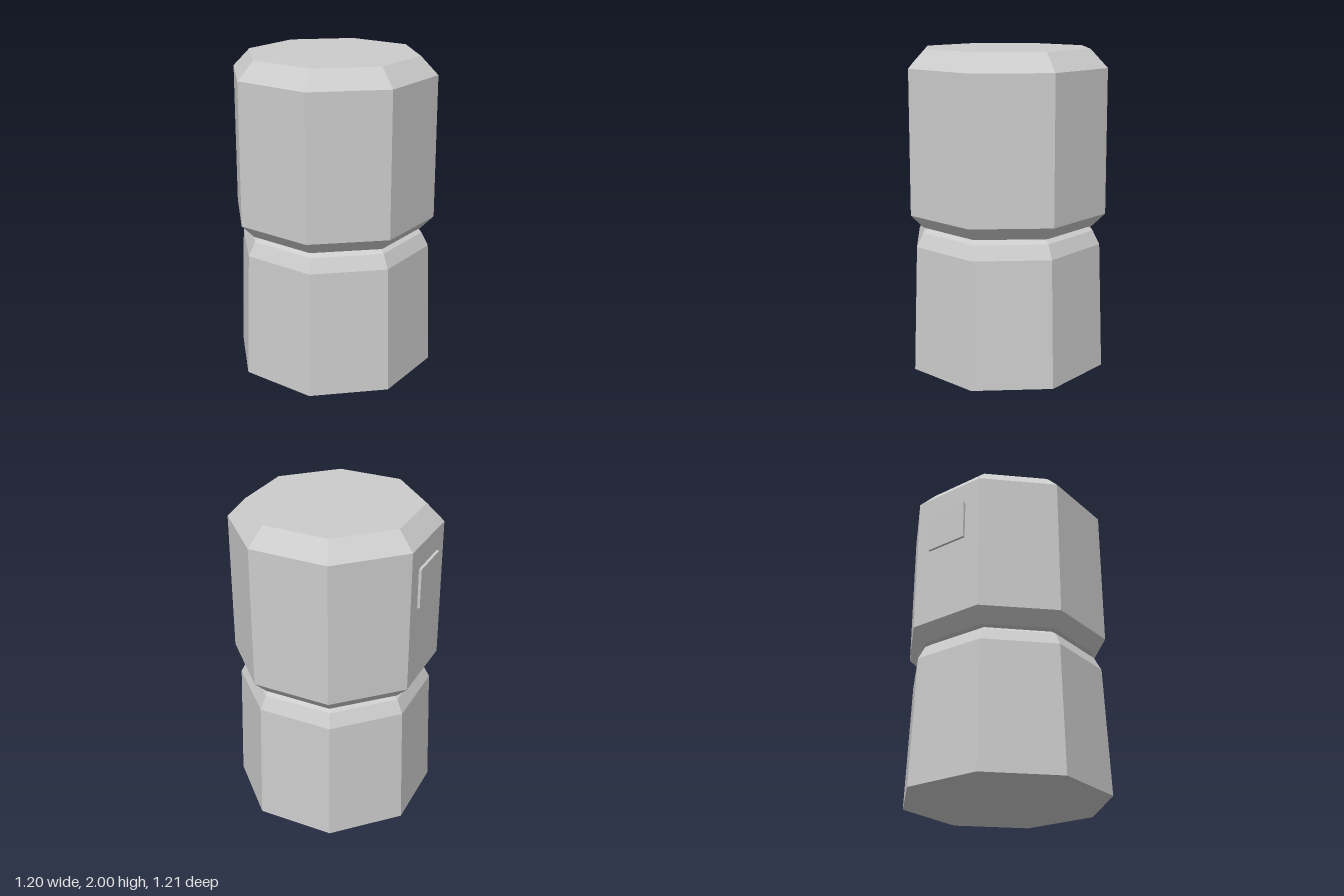
import * as THREE from 'three';

const SIDES = 8;
const material = new THREE.MeshStandardMaterial({ color: 0xcccccc, flatShading: true });

// Solid octagonal prism from [distance to flat side, height] pairs, with a flat face at the front
function octagon(name, profile) {
  const points = profile.map(([flat, y]) => new THREE.Vector2(flat / Math.cos(Math.PI / SIDES), y));
  const geometry = new THREE.LatheGeometry(points, SIDES, Math.PI / SIDES);
  const mesh = new THREE.Mesh(geometry, material);
  mesh.name = name;
  return mesh;
}

export function createModel() {
  const model = new THREE.Group();
  model.name = 'blockFigure';

  // Tapered body with a rounded shoulder
  const body = octagon('body', [
    [0, 0], [0.595, 0], [0.566, 0.8], [0.525, 0.885], [0.485, 0.914], [0, 0.914],
  ]);
  body.position.set(0.002, 0, 0.01);

  // Straight head with bevelled rims, turned very slightly
  const head = octagon('head', [
    [0, 0.916], [0.522, 0.916], [0.597, 1], [0.592, 1.89], [0.493, 2], [0, 2],
  ]);
  head.position.set(0.001, 0, 0.007);
  head.rotation.y = -0.012;

  // Thin plate on the back of the head
  const plate = new THREE.Mesh(new THREE.BoxGeometry(0.28, 0.25, 0.04), material);
  plate.name = 'backPlate';
  plate.position.set(0.01, 1.625, -0.583);
  plate.rotation.y = -0.012;

  model.add(body, head, plate);
  return model;
}
